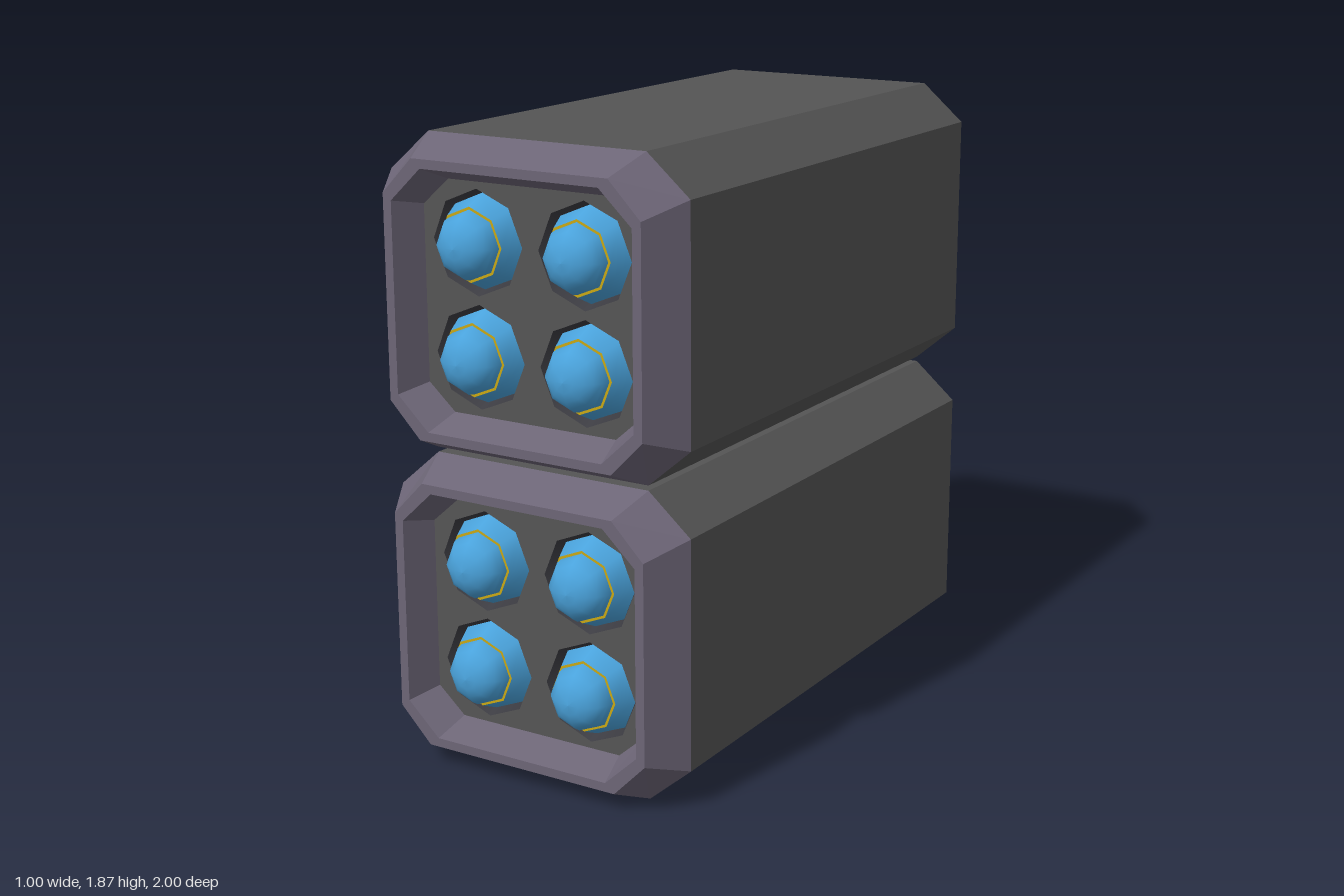
import * as THREE from 'three';

const material = (name, color) => {
  const m = new THREE.MeshStandardMaterial({ color });
  m.name = name;
  return m;
};

// Chamfered rectangle, counter-clockwise: half width/height and where the flats end
function octagon(hx, hy, cx, cy) {
  return [[hx, -cy], [hx, cy], [cx, hy], [-cx, hy], [-hx, cy], [-hx, -cy], [-cx, -hy], [cx, -hy]];
}

// Flat-shaded skin through rings [points, z], listed from back to front
function loft(rings) {
  const pos = [];
  for (let r = 0; r < rings.length - 1; r++) {
    const [a, za] = rings[r];
    const [b, zb] = rings[r + 1];
    for (let i = 0; i < 8; i++) {
      const j = (i + 1) % 8;
      pos.push(...a[i], za, ...a[j], za, ...b[j], zb, ...a[i], za, ...b[j], zb, ...b[i], zb);
    }
  }
  const g = new THREE.BufferGeometry();
  g.setAttribute('position', new THREE.Float32BufferAttribute(pos, 3));
  g.computeVertexNormals();
  return g;
}

// Eight-sided turned part facing +z, profile given as [radius, depth]
function turned(profile) {
  const g = new THREE.LatheGeometry(profile.map(([r, z]) => new THREE.Vector2(r, z)), 8);
  return g.rotateX(Math.PI / 2);
}

export function createModel() {
  const grey = material('casing grey', 0x555555);
  const purple = material('trim purple', 0x6c6576);
  const dark = material('socket dark', 0x3c3c42);
  const blue = material('lens blue', 0x4aa3dc);
  const yellow = material('ring yellow', 0xc9a814);

  const PANEL_Z = 0.885;
  const hull = octagon(0.5, 0.4625, 0.363, 0.345);
  const backEdge = octagon(0.4, 0.365, 0.345, 0.3);
  const rimOuter = octagon(0.428, 0.405, 0.325, 0.3);
  const rimInner = octagon(0.4, 0.378, 0.295, 0.28);
  const recess = octagon(0.365, 0.338, 0.276, 0.26);
  const centres = [];
  for (const x of [-0.18, 0.18]) for (const y of [-0.165, 0.165]) centres.push([x, y]);

  const casingGeo = loft([[hull, -0.835], [hull, 0.857]]);
  const backGeo = loft([[octagon(0, 0, 0, 0), -1], [backEdge, -1], [hull, -0.835]]);
  const bezelGeo = loft([[hull, 0.857], [rimOuter, 0.988], [rimInner, 0.988], [recess, PANEL_Z]]);

  // Front panel with four octagonal openings
  const panelShape = new THREE.Shape(recess.map(([x, y]) => new THREE.Vector2(x, y)));
  for (const [x, y] of centres) {
    const hole = [];
    for (let i = 0; i < 8; i++) {
      const t = (i * Math.PI) / 4;
      hole.push(new THREE.Vector2(x + 0.153 * Math.cos(t), y + 0.153 * Math.sin(t)));
    }
    panelShape.holes.push(new THREE.Path(hole));
  }
  const panelGeo = new THREE.ShapeGeometry(panelShape).translate(0, 0, PANEL_Z);

  // Lens parts, depths measured from the panel
  const dome = [];
  for (let i = 0; i <= 5; i++) {
    const t = (i / 5) * Math.PI / 2;
    dome.push([i === 5 ? 0 : 0.1 * Math.cos(t), 0.035 + 0.08 * Math.sin(t)]);
  }
  const lensParts = [
    ['socket', turned([[0.153, 0], [0.138, -0.03]]), dark],
    ['lensCollar', turned([[0.138, -0.03], [0.108, 0.035]]), blue],
    ['lensRing', turned([[0.108, 0.035], [0.099, 0.035]]), yellow],
    ['lensDome', turned(dome), blue],
  ];

  const add = (parent, name, geometry, mat) => {
    const mesh = new THREE.Mesh(geometry, mat);
    mesh.name = name;
    parent.add(mesh);
  };

  // Two identical pods stacked with a narrow gap
  const model = new THREE.Group();
  model.name = 'stackedPods';
  for (const [name, y] of [['lowerPod', 0.4625], ['upperPod', 1.4025]]) {
    const pod = new THREE.Group();
    pod.name = name;
    pod.position.y = y;
    add(pod, 'casing', casingGeo, grey);
    add(pod, 'backCap', backGeo, purple);
    add(pod, 'frontBezel', bezelGeo, purple);
    add(pod, 'frontPanel', panelGeo, grey);
    for (const [lx, ly] of centres) {
      const lens = new THREE.Group();
      lens.name = 'lens';
      lens.position.set(lx, ly, PANEL_Z);
      for (const part of lensParts) add(lens, ...part);
      pod.add(lens);
    }
    model.add(pod);
  }
  return model;
}
